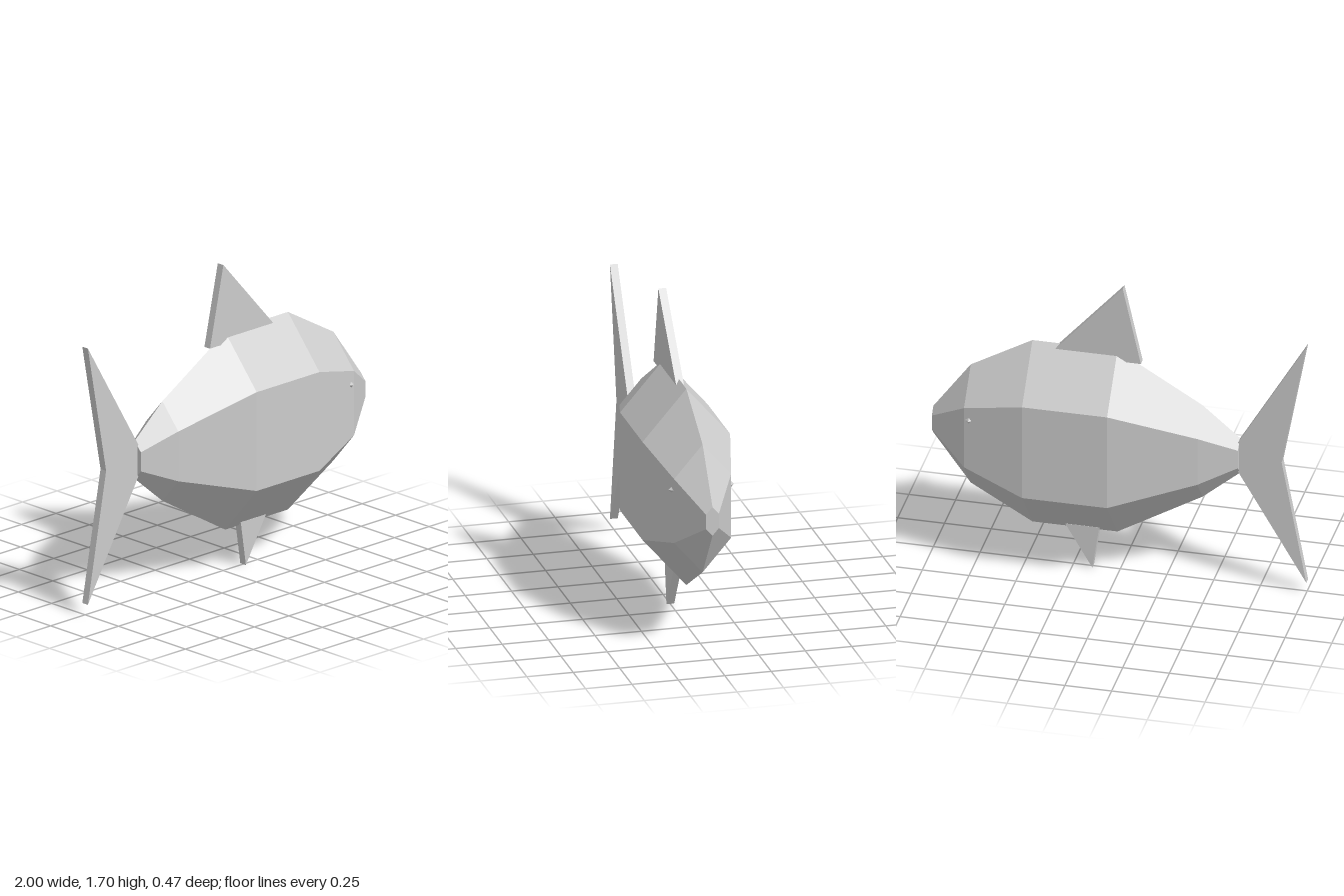
import * as THREE from 'three';

const MID_Y = 0.767;

export function createModel() {
  const fish = new THREE.Group();
  fish.name = 'fish';
  const material = new THREE.MeshStandardMaterial({ color: 0xcccccc, flatShading: true });

  const add = (name, geometry) => {
    const mesh = new THREE.Mesh(geometry, material);
    mesh.name = name;
    fish.add(mesh);
    return mesh;
  };

  // Body: six-sided lathe laid along x, flattened in z, closed at both ends
  const stations = [
    [0, -0.64], [0.105, -0.64], [0.275, -0.44], [0.545, 0.015],
    [0.545, 0.47], [0.355, 0.8], [0.08, 1], [0, 1],
  ];
  const body = new THREE.LatheGeometry(
    stations.map(([r, x]) => new THREE.Vector2(r, x)), 6, Math.PI / 2);
  body.rotateZ(-Math.PI / 2);
  body.scale(1, 1, 0.5);
  body.translate(0, MID_Y, 0);
  add('body', body);

  // Fins: flat outlines given a constant thickness, centred on z = 0
  const thickness = 0.042;
  const addFin = (name, outline) => {
    const shape = new THREE.Shape(outline.map(([x, y]) => new THREE.Vector2(x, y)));
    const fin = new THREE.ExtrudeGeometry(shape, { depth: thickness, bevelEnabled: false });
    fin.translate(0, 0, -thickness / 2);
    add(name, fin);
  };
  addFin('dorsalFin', [[-0.115, 1.257], [0.37, 1.257], [-0.018, 1.695]]);
  addFin('bellyFin', [[0.145, 0], [0.29, 0.245], [0.108, 0.245]]);
  addFin('tailFin', [[-1, 0.06], [-0.583, MID_Y], [-1, 1.474], [-0.868, MID_Y]]);

  // Eyes: small octahedra half sunk into the cheeks
  for (const [name, side] of [['leftSideEye', 1], ['rightSideEye', -1]]) {
    add(name, new THREE.OctahedronGeometry(0.043)).position.set(0.772, 0.877, side * 0.134);
  }

  return fish;
}
